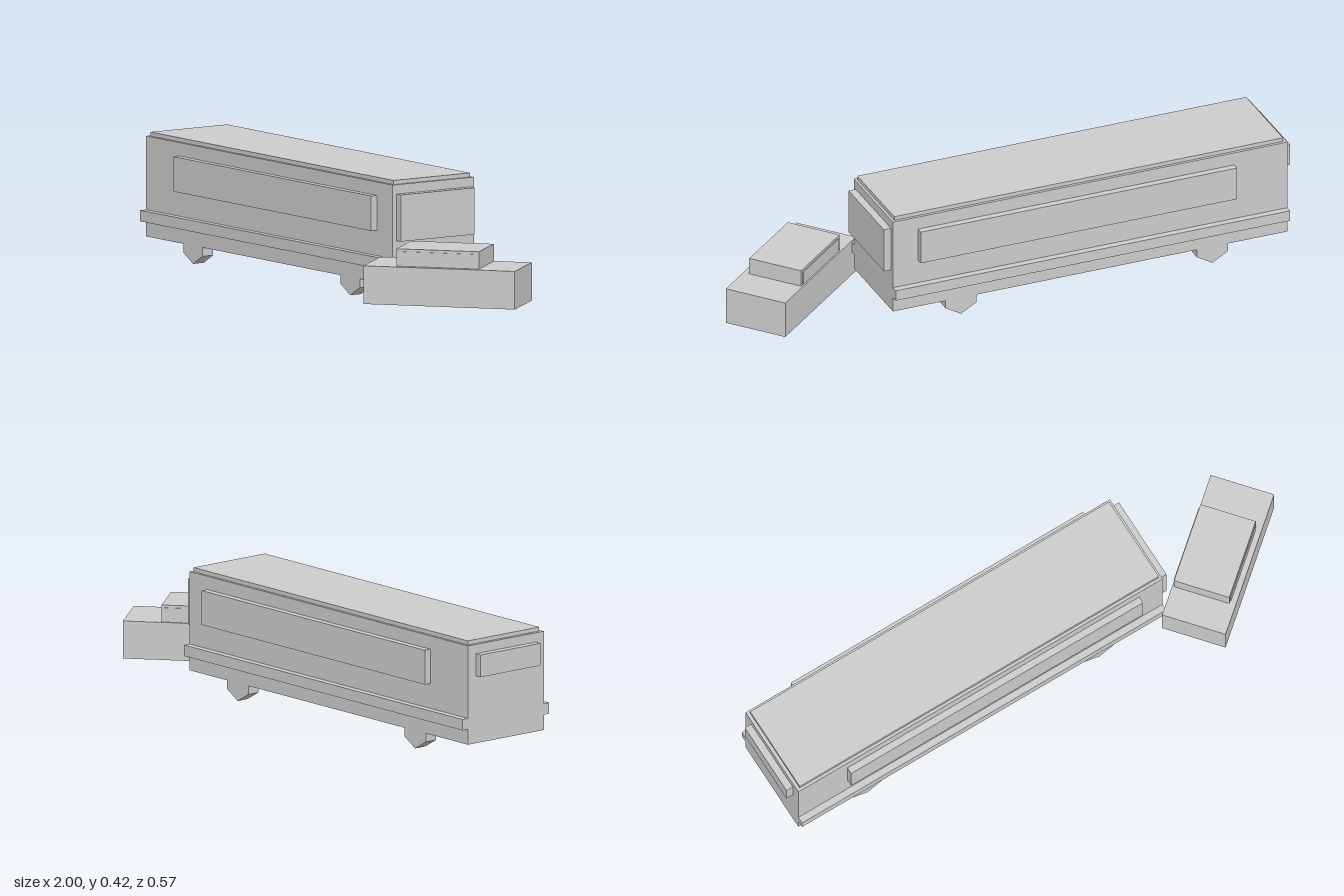
import * as THREE from 'three';

export function createModel() {
  const model = new THREE.Group();
  const grey = new THREE.MeshStandardMaterial({ color: 0xcccccc });
  grey.name = 'light grey';

  function add(parent, name, geometry, x, y, z) {
    const mesh = new THREE.Mesh(geometry, grey);
    mesh.name = name;
    mesh.position.set(x, y, z);
    parent.add(mesh);
    return mesh;
  }

  // Box given by its extents along each axis
  function block(parent, name, [x0, x1], [y0, y1], [z0, z1]) {
    return add(parent, name, new THREE.BoxGeometry(x1 - x0, y1 - y0, z1 - z0),
      (x0 + x1) / 2, (y0 + y1) / 2, (z0 + z1) / 2);
  }

  // Bus, built around its own centre line
  const bus = new THREE.Group();
  bus.name = 'bus';
  bus.position.z = -0.091;
  model.add(bus);
  block(bus, 'busBody', [-0.975, 0.472], [0.062, 0.404], [-0.168, 0.168]);
  block(bus, 'roof', [-0.963, 0.463], [0.404, 0.418], [-0.158, 0.158]);
  block(bus, 'windshield', [0.472, 0.498], [0.213, 0.372], [-0.152, 0.152]);
  block(bus, 'rearWindow', [-1, -0.975], [0.295, 0.372], [-0.133, 0.133]);

  for (const side of [-1, 1]) {
    const depth = side > 0 ? [0.168, 0.192] : [-0.192, -0.168];
    const label = side > 0 ? 'front' : 'back';
    block(bus, label + 'SideWindow', [-0.78, 0.38], [0.239, 0.358], depth);
    block(bus, label + 'SideStripe', [-0.975, 0.472], [0.115, 0.153], depth);
    // Six-sided wheels standing on a corner
    for (const x of [-0.7, 0.222]) {
      const wheel = new THREE.CylinderGeometry(0.065, 0.065, 0.044, 6).toNonIndexed();
      wheel.rotateX(Math.PI / 2);
      wheel.computeVertexNormals();
      add(bus, label + 'Wheel', wheel, x, 0.065, side * 0.1455);
    }
  }

  // Car, turned across the nose of the bus
  const car = new THREE.Group();
  car.name = 'car';
  car.position.set(0.724, 0, 0.0275);
  car.rotation.y = THREE.MathUtils.degToRad(40);
  model.add(car);
  block(car, 'carBody', [-0.264, 0.264], [0.03, 0.16], [-0.1125, 0.1125]);

  const cabin = new THREE.Group();
  cabin.name = 'cabin';
  cabin.position.set(-0.011, 0, -0.008);
  car.add(cabin);
  block(cabin, 'cabinBody', [-0.144, 0.144], [0.16, 0.219], [-0.098, 0.098]);
  for (const side of [-1, 1]) {
    const depth = side > 0 ? [0.098, 0.101] : [-0.101, -0.098];
    block(cabin, 'cabinWindow', [-0.133, 0.133], [0.162, 0.21], depth);
  }

  return model;
}
